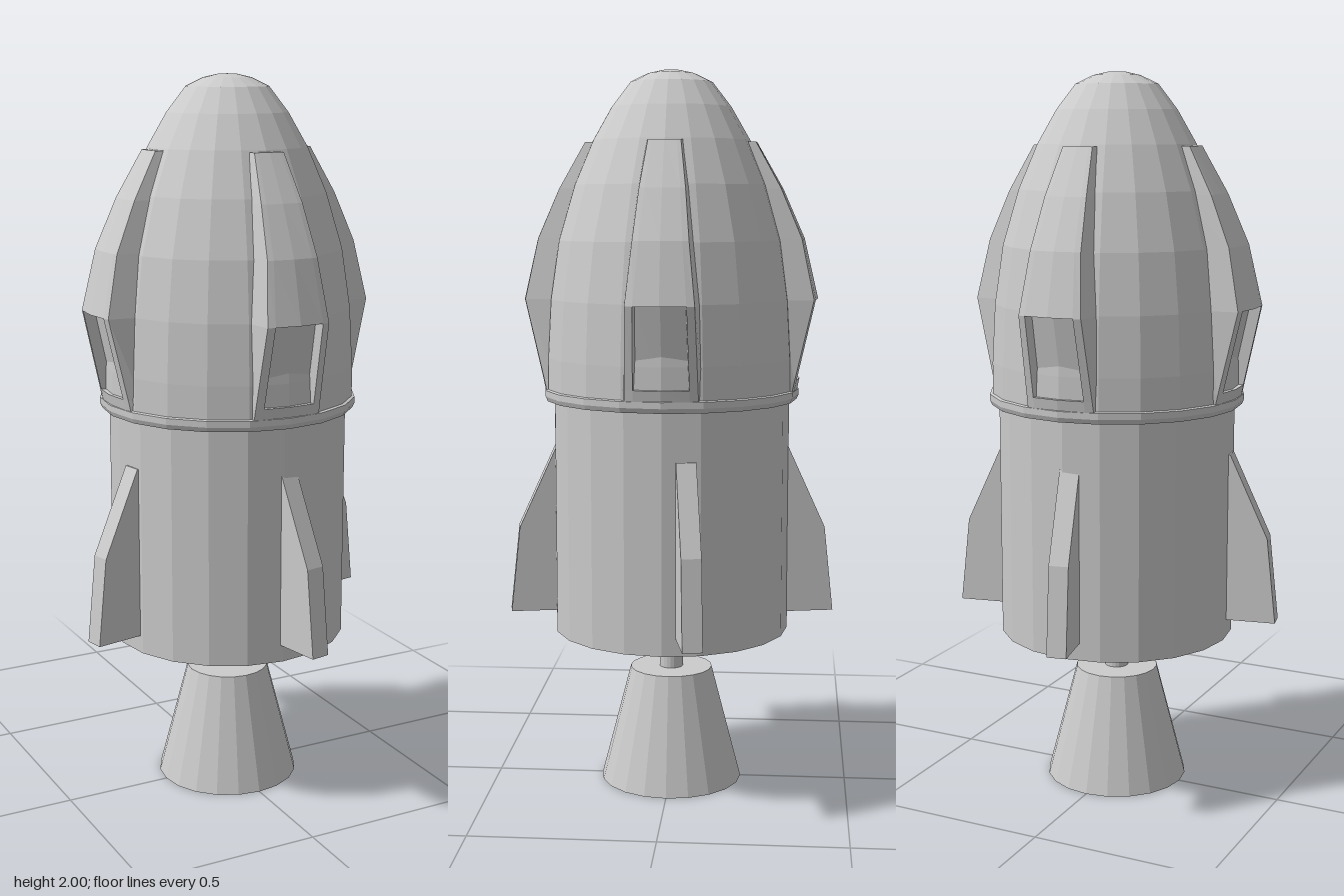
import * as THREE from 'three';

const SIDES = 20;
const material = new THREE.MeshStandardMaterial({ color: 0xcccccc, flatShading: true });
const thinMaterial = new THREE.MeshStandardMaterial({ color: 0xcccccc, flatShading: true, side: THREE.DoubleSide });

function addMesh(parent, name, geometry, mat = material) {
  const mesh = new THREE.Mesh(geometry, mat);
  mesh.name = name;
  parent.add(mesh);
  return mesh;
}

// Profile of [radius, y] pairs, listed from bottom to top on the outside
function lathe(profile) {
  return new THREE.LatheGeometry(profile.map(([r, y]) => new THREE.Vector2(r, y)), SIDES);
}

// Raised pod facing +z: rows of cross-sections, with a recessed window in the lower band
function podGeometry() {
  // y, centre radius, half width, radius of the hidden base
  const rows = [
    [1.805, 0.236, 0.043, 0.17],
    [1.68, 0.308, 0.060, 0.22],
    [1.545, 0.368, 0.073, 0.27],
    [1.38, 0.407, 0.090, 0.30],
    [1.16, 0.358, 0.096, 0.31],
    [1.13, 0.352, 0.097, 0.31],
  ];
  const section = ([y, r, w, base]) => {
    const front = [-1, -0.77, 0, 0.77, 1].map((f) => [f * w, y, r - 1.5 * (f * w) ** 2]);
    return [[-w - 0.01, y, base], ...front, [w + 0.01, y, base]];
  };
  const grid = rows.map(section);
  const positions = [];
  const quad = (a, b, c, d) => positions.push(...a, ...b, ...c, ...a, ...c, ...d);
  const windowBand = 3;

  for (let i = 0; i < rows.length - 1; i++) {
    for (let j = 0; j < 6; j++) {
      if (i === windowBand && (j === 2 || j === 3)) continue;
      quad(grid[i][j], grid[i + 1][j], grid[i + 1][j + 1], grid[i][j + 1]);
    }
  }

  // Recess walls and back panel
  const top = grid[windowBand].slice(2, 5);
  const bottom = grid[windowBand + 1].slice(2, 5);
  const inset = ([x, y, z]) => [x * 0.95, y, z - 0.032];
  const topIn = top.map(inset);
  const bottomIn = bottom.map(inset);
  for (let j = 0; j < 2; j++) {
    quad(top[j], topIn[j], topIn[j + 1], top[j + 1]);
    quad(bottomIn[j], bottom[j], bottom[j + 1], bottomIn[j + 1]);
    quad(topIn[j], bottomIn[j], bottomIn[j + 1], topIn[j + 1]);
  }
  quad(top[0], bottom[0], bottomIn[0], topIn[0]);
  quad(topIn[2], bottomIn[2], bottom[2], top[2]);

  // End caps
  const first = grid[0];
  const last = grid[rows.length - 1];
  for (let j = 1; j < 6; j++) {
    positions.push(...first[0], ...first[j], ...first[j + 1]);
    positions.push(...last[0], ...last[j + 1], ...last[j]);
  }

  const geometry = new THREE.BufferGeometry();
  geometry.setAttribute('position', new THREE.Float32BufferAttribute(positions, 3));
  geometry.computeVertexNormals();
  return geometry;
}

// Fin pointing along +x, centred on its thickness
function finGeometry() {
  const outline = [[0.28, 0.493], [0.463, 0.493], [0.437, 0.735], [0.33, 0.968], [0.28, 0.968]];
  const shape = new THREE.Shape(outline.map(([x, y]) => new THREE.Vector2(x, y)));
  const geometry = new THREE.ExtrudeGeometry(shape, { depth: 0.054, bevelEnabled: false });
  return geometry.translate(0, 0, -0.027);
}

export function createModel() {
  const model = new THREE.Group();
  model.name = 'spaceCapsule';

  // Capsule and the collar beneath it
  addMesh(model, 'capsule', lathe([
    [0.348, 1.13], [0.347, 1.22], [0.338, 1.38], [0.314, 1.54], [0.269, 1.69],
    [0.217, 1.81], [0.165, 1.9], [0.113, 1.967], [0.065, 1.99], [0.025, 1.999], [0, 2],
  ]));
  addMesh(model, 'collar', lathe([[0.325, 1.098], [0.35, 1.1], [0.356, 1.113], [0.356, 1.13], [0.34, 1.135]]));

  // Service trunk
  addMesh(model, 'trunk', lathe([[0, 0.445], [0.33, 0.445], [0.33, 1.12], [0, 1.12]]));

  // Four pods around the capsule
  const pod = podGeometry();
  for (let i = 0; i < 4; i++) {
    addMesh(model, 'pod', pod, thinMaterial).rotation.y = (i * Math.PI) / 2;
  }

  // Four slightly twisted fins; the front and back pair sit closer to the middle
  const fin = finGeometry();
  const twist = 0.195;
  for (let i = 0; i < 4; i++) {
    const mesh = addMesh(model, 'fin', fin);
    mesh.rotation.y = twist + (i * Math.PI) / 2;
    if (i === 1) mesh.position.x = 0.045 - 0.089 + 0.0;
    if (i === 3) mesh.position.x = 0.044;
    // i = 1 points to the back, i = 3 to the front
    if (i % 2 === 1) mesh.position.x = i === 1 ? 0.046 : -0.046;
  }

  // Engine
  addMesh(model, 'engineStem', new THREE.CylinderGeometry(0.033, 0.033, 0.16, SIDES).translate(0, 0.39, 0));
  addMesh(model, 'engineNozzle', lathe([
    [0, 0.29], [0.085, 0.29], [0.157, 0], [0.2, 0], [0.116, 0.325], [0, 0.325],
  ]));

  return model;
}
